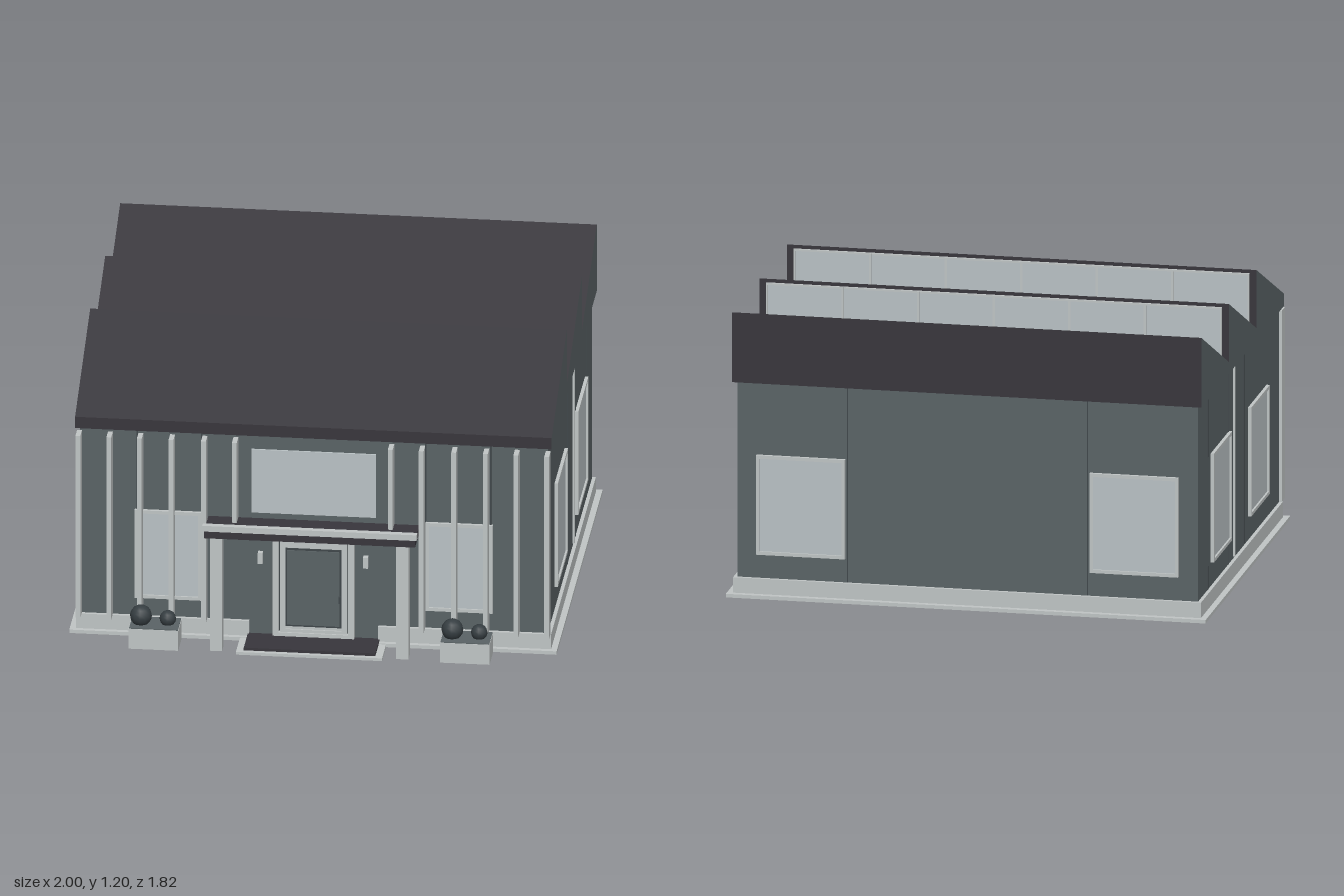
import * as THREE from 'three';

const mat = (name, color) => {
  const m = new THREE.MeshStandardMaterial({ color });
  m.name = name;
  return m;
};

export function createModel() {
  const wall = mat('slate cladding', 0x5a6366);
  const roof = mat('charcoal roofing', 0x38363c);
  const trim = mat('pale trim', 0xc0c5c5);
  const glass = mat('pale glass', 0xbac2c5);
  const foliage = mat('dark foliage', 0x363e42);
  const joint = mat('panel joint', 0x40474a);

  const model = new THREE.Group();
  model.name = 'sawtoothBuilding';

  // Box given by its limits on each axis
  const box = (name, m, x0, x1, y0, y1, z0, z1, parent = model) => {
    const mesh = new THREE.Mesh(new THREE.BoxGeometry(x1 - x0, y1 - y0, z1 - z0), m);
    mesh.position.set((x0 + x1) / 2, (y0 + y1) / 2, (z0 + z1) / 2);
    mesh.name = name;
    parent.add(mesh);
    return mesh;
  };

  // Group lying on a wall: local x runs along the wall, local z points outward
  const face = (name, x, z, angle) => {
    const g = new THREE.Group();
    g.name = name;
    g.position.set(x, 0, z);
    g.rotation.y = angle;
    model.add(g);
    return g;
  };

  // Rectangular frame with an open middle
  const frame = (name, m, x0, x1, y0, y1, w, depth, parent) => {
    const s = new THREE.Shape();
    s.moveTo(x0, y0).lineTo(x1, y0).lineTo(x1, y1).lineTo(x0, y1).closePath();
    const h = new THREE.Path();
    h.moveTo(x0 + w, y0 + w).lineTo(x0 + w, y1 - w).lineTo(x1 - w, y1 - w).lineTo(x1 - w, y0 + w).closePath();
    s.holes.push(h);
    const mesh = new THREE.Mesh(new THREE.ExtrudeGeometry(s, { depth, bevelEnabled: false }), m);
    mesh.name = name;
    parent.add(mesh);
  };

  const pane = (parent, x0, x1, y0, y1) => {
    frame('windowFrame', trim, x0, x1, y0, y1, 0.014, 0.014, parent);
    box('windowGlass', glass, x0 + 0.01, x1 - 0.01, y0 + 0.01, y1 - 0.01, 0, 0.006, parent);
  };

  // Ground slab, plinth and walls
  box('groundSlab', trim, -1, 1, 0, 0.015, -0.91, 0.765);
  box('plinth', trim, -0.975, 0.975, 0.015, 0.08, -0.885, 0.725);
  for (const s of [-1, 1]) {
    const a = s * 0.265, b = s * 0.975;
    box('frontPlinth', trim, Math.min(a, b), Math.max(a, b), 0.015, 0.08, 0.725, 0.745);
  }
  box('walls', wall, -0.96, 0.96, 0.015, 0.91, -0.87, 0.73);

  // Sawtooth roof: wall-coloured gable ends, dark slopes and fascias
  const peaks = [0.2, -0.345, -0.89];
  const profile = new THREE.Shape();
  profile.moveTo(-0.75, 0.905).lineTo(0.89, 0.905).lineTo(0.89, 1.2);
  profile.lineTo(0.345, 0.955).lineTo(0.345, 1.2).lineTo(-0.2, 0.955).lineTo(-0.2, 1.2);
  profile.lineTo(-0.75, 0.955).closePath();
  const roofGeo = new THREE.ExtrudeGeometry(profile, { depth: 1.956, bevelEnabled: false });
  roofGeo.translate(0, 0, -0.978);
  roofGeo.rotateY(Math.PI / 2);
  const roofMesh = new THREE.Mesh(roofGeo, [wall, roof]);
  roofMesh.name = 'sawtoothRoof';
  model.add(roofMesh);

  // Rear-facing roof lights with glazing bars
  for (const z of peaks.slice(0, 2)) {
    box('roofLight', glass, -0.945, 0.945, 0.965, 1.18, z - 0.006, z);
    const g = face('roofLightFrame', 0, z, Math.PI);
    frame('roofLightSurround', trim, -0.95, 0.95, 0.96, 1.185, 0.008, 0.01, g);
    for (let i = -2; i <= 2; i++) {
      const x = i * 0.315;
      box('glazingBar', trim, x - 0.005, x + 0.005, 0.965, 1.185, z - 0.012, z);
    }
  }

  // Front windows
  const front = face('frontFace', 0, 0.73, 0);
  pane(front, 0.46, 0.735, 0.16, 0.55);
  pane(front, -0.735, -0.46, 0.16, 0.55);
  box('upperWindow', glass, -0.255, 0.255, 0.56, 0.84, 0, 0.008, front);

  // Side windows, panel joints and the pale vertical strip
  for (const s of [-1, 1]) {
    const side = face(s > 0 ? 'leftFace' : 'rightFace', s * 0.96, 0, s * Math.PI / 2);
    const span = (z0, z1) => (s > 0 ? [-z1, -z0] : [z0, z1]);
    pane(side, ...span(0.12, 0.485), 0.18, 0.64);
    pane(side, ...span(-0.62, -0.26), 0.18, 0.64);
    for (const z of [0.035, -0.27, -0.68]) {
      if (z !== 0.035) {
        box('panelJointLow', joint, ...span(z - 0.002, z + 0.002), 0.08, 0.18, 0, 0.002, side);
        box('panelJointHigh', joint, ...span(z - 0.002, z + 0.002), 0.64, 0.905, 0, 0.002, side);
      } else box('panelJoint', joint, ...span(z - 0.004, z + 0.004), 0.09, 0.89, 0, 0.004, side);
    }
    box('sideStrip', trim, ...span(-0.179, -0.171), 0.09, 0.89, 0, 0.008, side);
  }

  // Back windows and joints
  const back = face('backFace', 0, -0.87, Math.PI);
  for (const s of [-1, 1]) {
    pane(back, s * 0.695 - 0.185, s * 0.695 + 0.185, 0.18, 0.6);
    box('panelJoint', joint, s * 0.5 - 0.002, s * 0.5 + 0.002, 0.08, 0.905, 0, 0.002, back);
  }

  // Facade fins and front joints; the inner pair stands on the canopy
  for (const s of [-1, 1]) {
    for (const d of [0.962, 0.835, 0.71, 0.58, 0.447, 0.32]) {
      const x = s * d;
      box('facadeFin', trim, x - 0.01, x + 0.01, d === 0.32 ? 0.53 : 0.08, 0.888, 0.73, 0.79);
    }
    for (const d of [0.46, 0.725]) {
      box('panelJoint', joint, s * d - 0.003, s * d + 0.003, 0.55, 0.905, 0, 0.002, front);
    }
  }

  // Entrance door
  frame('doorSurround', trim, -0.168, 0.168, 0.015, 0.48, 0.025, 0.025, front);
  box('doorReveal', joint, -0.145, 0.145, 0.02, 0.457, 0, 0.006, front);
  frame('doorLeaf', trim, -0.138, 0.138, 0.03, 0.452, 0.023, 0.018, front);
  box('doorLeafFill', trim, -0.12, 0.12, 0.035, 0.44, 0, 0.012, front);
  box('doorPanelEdge', joint, -0.116, 0.116, 0.066, 0.412, 0.012, 0.016, front);
  box('doorPanel', wall, -0.108, 0.108, 0.074, 0.404, 0.016, 0.02, front);
  box('doorHandle', joint, 0.104, 0.112, 0.18, 0.21, 0.018, 0.032, front);
  for (const x of [-0.218, 0.214]) box('wallLamp', trim, x - 0.01, x + 0.01, 0.34, 0.388, 0, 0.025, front);

  // Entrance step with dark mat
  box('entranceStep', trim, -0.3, 0.3, 0, 0.012, 0.74, 0.91);
  box('entranceMat', roof, -0.27, 0.27, 0.012, 0.024, 0.735, 0.89);

  // Canopy and its columns
  box('canopy', roof, -0.433, 0.433, 0.502, 0.533, 0.73, 0.89);
  box('canopyEdge', trim, -0.44, 0.44, 0.533, 0.558, 0.867, 0.893);
  for (const x of [-0.385, 0.38]) box('canopyColumn', trim, x - 0.025, x + 0.025, 0, 0.502, 0.828, 0.882);

  // Planters with clipped round shrubs
  for (const x of [-0.64, 0.638]) {
    box('planter', trim, x - 0.102, x + 0.102, 0, 0.088, 0.772, 0.898);
    box('planterSoil', wall, x - 0.1, x + 0.1, 0.088, 0.092, 0.774, 0.896);
    for (const [dx, r, z] of [[-0.058, 0.045, 0.835], [0.052, 0.034, 0.832]]) {
      const shrub = new THREE.Mesh(new THREE.SphereGeometry(r, 12, 8), foliage);
      shrub.position.set(x + dx, 0.085 + r * 0.85, z);
      shrub.name = 'shrub';
      model.add(shrub);
    }
  }
  return model;
}
